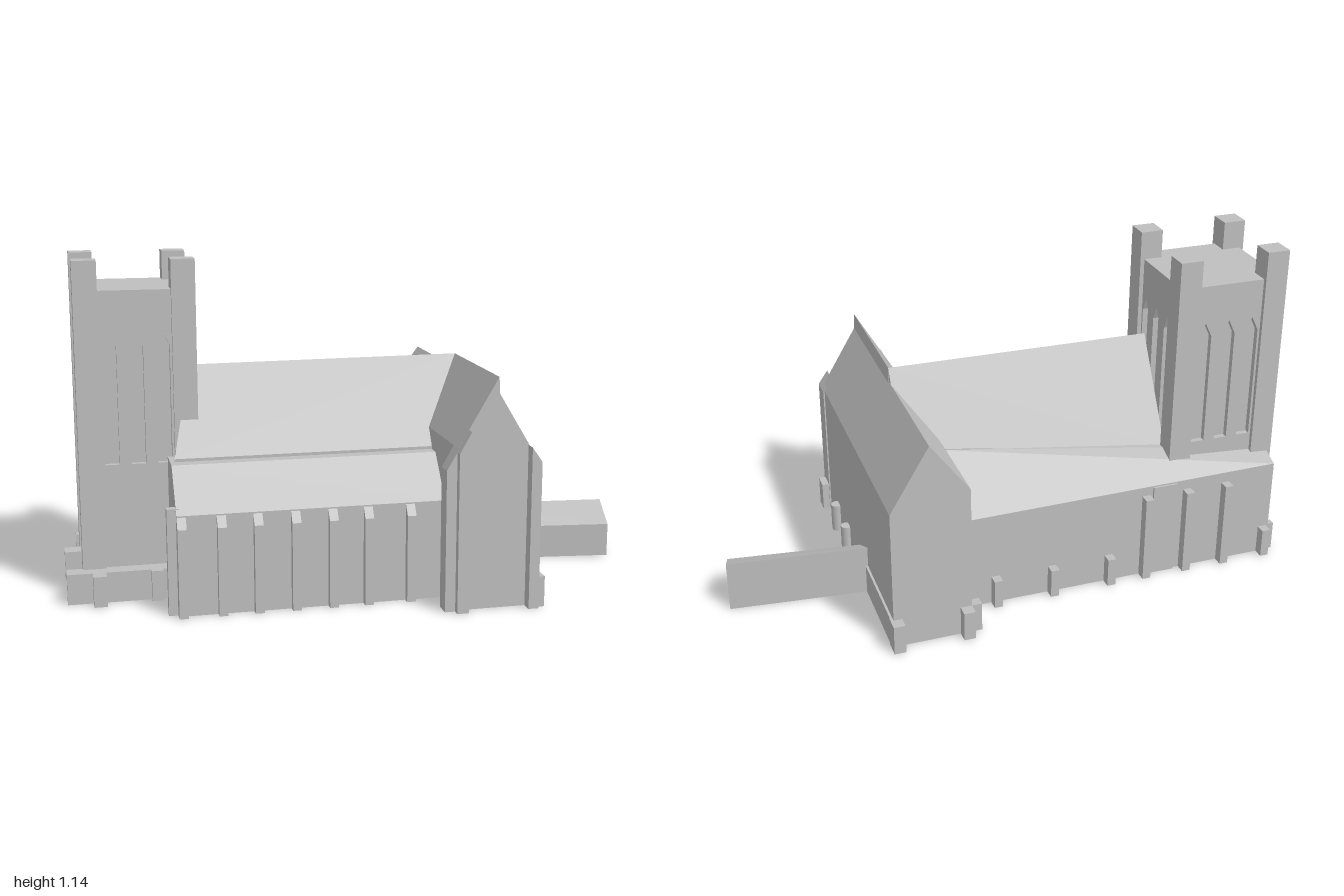
import * as THREE from 'three';
import { ConvexGeometry } from 'three/addons/geometries/ConvexGeometry.js';

const stone = new THREE.MeshStandardMaterial({ color: 0xbfbfbf });
stone.name = 'stone';

export function createModel() {
  const church = new THREE.Group();
  church.name = 'church';

  const add = (name, geometry, parent = church) => {
    const mesh = new THREE.Mesh(geometry, stone);
    mesh.name = name;
    parent.add(mesh);
    return mesh;
  };
  // Box from its lower and upper limits
  const block = (name, x0, x1, y0, y1, z0, z1, parent) => {
    const g = new THREE.BoxGeometry(x1 - x0, y1 - y0, z1 - z0);
    g.translate((x0 + x1) / 2, (y0 + y1) / 2, (z0 + z1) / 2);
    return add(name, g, parent);
  };
  // Convex solid around corner points
  const hull = (name, pts, parent) =>
    add(name, new ConvexGeometry(pts.map(p => new THREE.Vector3(...p))), parent);
  // Solid with one [a, y] outline swept along x (a = z) or z (a = x)
  const alongX = (name, x0, x1, outline) =>
    hull(name, outline.flatMap(([z, y]) => [[x0, y, z], [x1, y, z]]));
  const alongZ = (name, z0, z1, outline) =>
    hull(name, outline.flatMap(([x, y]) => [[x, y, z0], [x, y, z1]]));

  // Nave, whose rear eave drops and widens towards the tower
  hull('nave', [
    [-0.635, 0, 0.19], [0.385, 0, 0.19], [-0.635, 0, -0.21], [0.385, 0, -0.14],
    [-0.635, 0.49, 0.185], [0.385, 0.49, 0.185],
    [-0.56, 0.775, 0], [0.385, 0.78, 0],
    [-0.56, 0.42, -0.215], [0.385, 0.54, -0.14],
  ]);

  // Side aisles
  alongX('frontAisle', -0.65, 0.26,
    [[0.1, 0], [0.1, 0.48], [0.23, 0.48], [0.35, 0.34], [0.35, 0]]);
  hull('rearAisle', [
    [-0.93, 0, -0.35], [0.26, 0, -0.35], [-0.93, 0, -0.1], [0.26, 0, -0.1],
    [-0.93, 0.36, -0.35], [0.26, 0.345, -0.35],
    [-0.93, 0.39, -0.27], [-0.56, 0.42, -0.215], [0.26, 0.52, -0.15],
    [-0.56, 0.42, -0.1], [0.26, 0.52, -0.1],
  ]);

  // Transept, with the front half of its inner roof slope raised
  alongZ('transept', -0.49, 0.49,
    [[0.25, 0], [0.25, 0.55], [0.385, 0.73], [0.52, 0.505], [0.52, 0]]);
  alongZ('raisedTranseptRoof', 0, 0.49,
    [[0.25, 0.4], [0.25, 0.55], [0.385, 0.78], [0.388, 0.72], [0.388, 0.4]]);

  // Tall sloped buttresses on the transept front
  alongZ('transeptButtress', 0.45, 0.525, [[0.245, 0], [0.245, 0.54], [0.285, 0.61], [0.285, 0]]);
  alongZ('transeptButtress', 0.44, 0.5, [[0.21, 0], [0.21, 0.48], [0.25, 0.55], [0.25, 0]]);
  alongZ('transeptButtress', 0.45, 0.53, [[0.49, 0], [0.49, 0.55], [0.525, 0.5], [0.525, 0]]);

  // Low blocks and posts around the transept
  block('cornerBlock', 0.5, 0.55, 0, 0.105, 0.455, 0.515);
  block('cornerBlock', 0.49, 0.53, 0, 0.105, -0.53, -0.47);
  block('cornerBlock', 0.25, 0.29, 0, 0.105, -0.53, -0.47);
  block('cornerBlock', 0.215, 0.26, 0, 0.105, -0.49, -0.455);
  block('transeptPlinth', 0.5, 0.528, 0, 0.105, -0.49, -0.13);
  for (const z of [0.3, 0.14]) {
    const post = new THREE.CylinderGeometry(0.021, 0.021, 0.105, 10);
    post.translate(0.53, 0.0525, z);
    add('transeptPost', post);
  }

  // Buttresses along the aisles
  for (const x of [-0.635, -0.505, -0.385, -0.26, -0.135, -0.015, 0.13])
    alongX('frontButtress', x - 0.015, x + 0.015,
      [[0.33, 0], [0.33, 0.34], [0.35, 0.335], [0.375, 0.3], [0.375, 0]]);
  block('aisleCornerButtress', -0.68, -0.64, 0, 0.36, 0.305, 0.335);
  for (const [x, h] of [[-0.905, 0.105], [-0.74, 0.32], [-0.59, 0.32], [-0.435, 0.32],
    [-0.3, 0.105], [-0.087, 0.105], [0.12, 0.105]])
    block('rearButtress', x - 0.015, x + 0.015, 0, h, -0.386, -0.34);
  block('rearBay', -0.55, -0.46, 0, 0.35, -0.358, -0.34);

  // Tower: core, corner piers and walls pierced by pointed windows
  const tower = new THREE.Group();
  tower.name = 'tower';
  tower.position.set(-0.745, 0, -0.09);
  church.add(tower);
  block('towerCore', -0.165, 0.165, 0, 1.04, -0.165, 0.165, tower);
  block('towerRoof', -0.18, 0.18, 1.025, 1.045, -0.18, 0.18, tower);
  for (const sx of [-1, 1]) for (const sz of [-1, 1]) {
    const x = sx * 0.16, z = sz * 0.16;
    block('towerPier', x - 0.04, x + 0.04, 0, 1.145, z - 0.04, z + 0.04, tower);
  }
  const wall = new THREE.Shape([[-0.14, 0], [0.14, 0], [0.14, 1.045], [-0.14, 1.045]]
    .map(p => new THREE.Vector2(...p)));
  for (const c of [-0.088, 0, 0.088]) {
    const w = 0.024;
    wall.holes.push(new THREE.Path([[c - w, 0.46], [c - w, 0.86], [c, 0.91], [c + w, 0.86], [c + w, 0.46]]
      .map(p => new THREE.Vector2(...p))));
  }
  const wallGeometry = new THREE.ExtrudeGeometry(wall, { depth: 0.022, bevelEnabled: false });
  wallGeometry.translate(0, 0, 0.163);
  for (let i = 0; i < 4; i++) add('towerWall', wallGeometry, tower).rotation.y = i * Math.PI / 2;

  // Low plinths and stubs around the tower foot
  block('towerPlinth', -0.94, -0.64, 0, 0.105, 0.08, 0.155);
  block('towerStub', -1, -0.93, 0, 0.105, 0.095, 0.155);
  block('towerStub', -0.915, -0.87, 0, 0.105, 0.14, 0.2);
  block('towerStub', -0.72, -0.68, 0, 0.105, 0.14, 0.175);
  block('towerStub', -1, -0.93, 0, 0.105, -0.165, -0.105);
  block('towerStub', -0.955, -0.92, 0, 0.105, -0.345, -0.32);

  // Low annex with a single-pitch roof, set slightly askew
  const low = [[0.98, 0.03], [0.5, -0.03]], high = [[1, -0.1], [0.5, -0.15]];
  hull('annex', [
    ...low.flatMap(([x, z]) => [[x, 0, z], [x, 0.12, z]]),
    ...high.flatMap(([x, z]) => [[x, 0, z], [x, 0.18, z]]),
  ]);

  return church;
}
